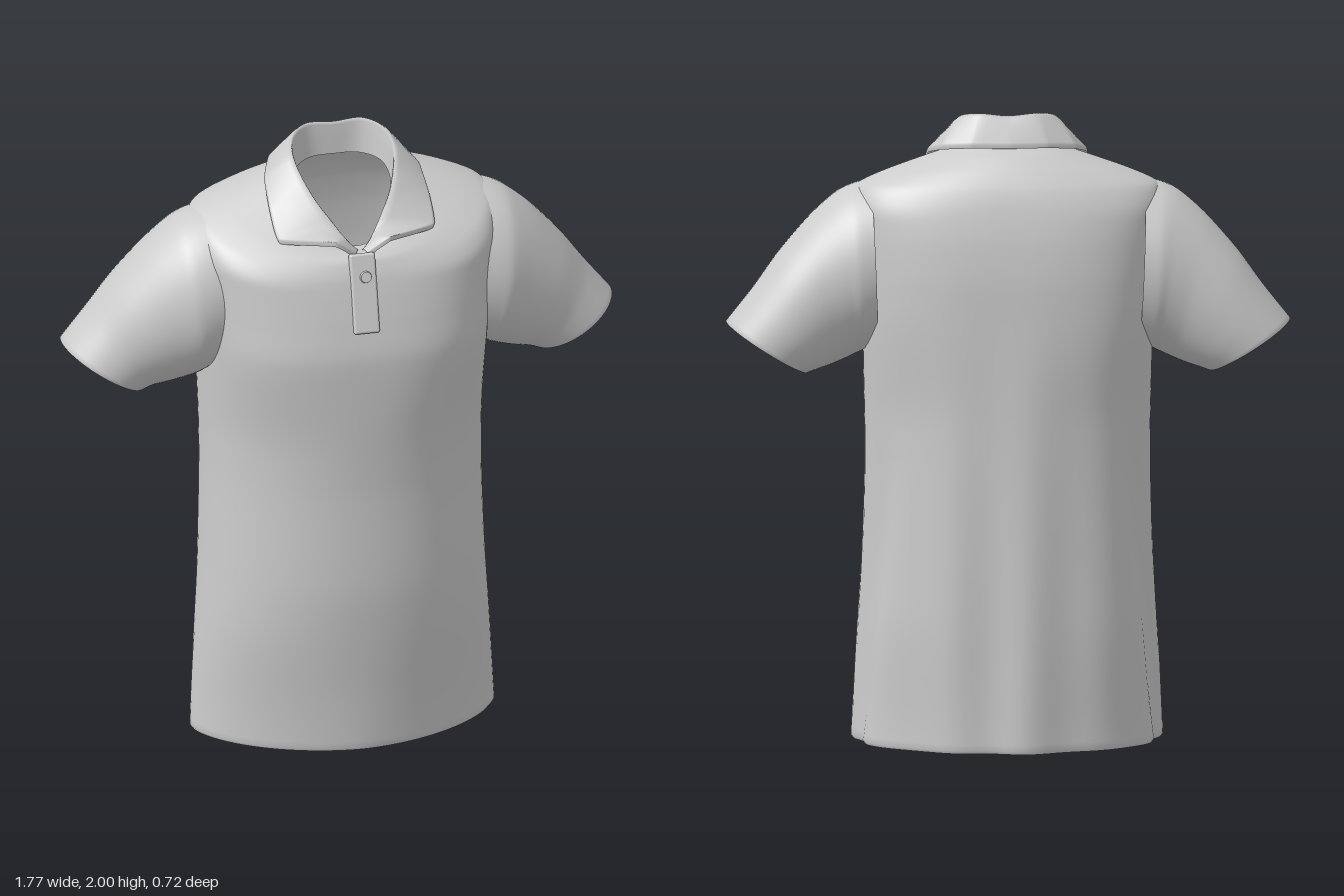
import * as THREE from 'three';
import { RoundedBoxGeometry } from 'three/addons/geometries/RoundedBoxGeometry.js';

const V = (x, y, z) => new THREE.Vector3(x, y, z);
const spow = (v, p) => Math.sign(v) * Math.pow(Math.abs(v), p);
const gauss = (v, w) => Math.exp(-(v * v) / (w * w));
const smooth = THREE.MathUtils.smoothstep;

// Skin a grid of points: rows of equal length, optionally closed around
function loft(rows, closed) {
  const n = rows[0].length, index = [];
  for (let j = 0; j < rows.length - 1; j++) {
    for (let i = 0; i < (closed ? n : n - 1); i++) {
      const k = (i + 1) % n, a = j * n, b = a + n;
      index.push(a + i, b + i, a + k, a + k, b + i, b + k);
    }
  }
  const g = new THREE.BufferGeometry().setFromPoints(rows.flat());
  g.setIndex(index);
  g.computeVertexNormals();
  return g;
}

// Smoothly interpolate a table of six numbers per row
function sampler(table) {
  const a = new THREE.CatmullRomCurve3(table.map(r => V(r[0], r[1], r[2])), false, 'catmullrom', 0.4);
  const b = new THREE.CatmullRomCurve3(table.map(r => V(r[3], r[4], r[5])), false, 'catmullrom', 0.4);
  return t => [...a.getPoint(t).toArray(), ...b.getPoint(t).toArray()];
}

// Torso rings: side height, front height, back height, half width, front z, back z
const TORSO = [
  [0.01, 0.01, 0.01, 0.502, 0.295, -0.348],
  [0.2, 0.2, 0.2, 0.486, 0.31, -0.346],
  [0.55, 0.55, 0.55, 0.46, 0.343, -0.342],
  [0.9, 0.9, 0.9, 0.448, 0.342, -0.335],
  [1.2, 1.2, 1.2, 0.453, 0.356, -0.328],
  [1.38, 1.37, 1.38, 0.457, 0.36, -0.322],
  [1.5, 1.48, 1.5, 0.466, 0.342, -0.317],
  [1.62, 1.57, 1.62, 0.478, 0.322, -0.302],
  [1.72, 1.63, 1.72, 0.486, 0.306, -0.278],
  [1.77, 1.66, 1.78, 0.468, 0.294, -0.255],
  [1.81, 1.685, 1.83, 0.385, 0.28, -0.222],
  [1.855, 1.7, 1.87, 0.26, 0.255, -0.18],
  [1.885, 1.705, 1.9, 0.17, 0.21, -0.12],
];

function torsoRing([yS, yF, yB, hw, zf, zb]) {
  const zc = -0.03, N = 96;
  // oval at the hem and neck, squarer across the chest
  const p = 1.12 - 0.16 * smooth(yS, 0, 0.45) - 0.23 * smooth(yS, 1.02, 1.42)
    + 0.27 * smooth(yS, 1.68, 1.86);
  const low = 1 - smooth(yS, 0.6, 1.25);
  const folds = 1 - smooth(yS, 0.2, 1.7);
  return Array.from({ length: N }, (_, i) => {
    const th = -i / N * Math.PI * 2;
    const c = spow(Math.cos(th), p), s = spow(Math.sin(th), p);
    let x = hw * c, z = zc + (s > 0 ? zf - zc : zc - zb) * s;
    const y = yS + ((s > 0 ? yF : yB) - yS) * Math.pow(Math.abs(s), 1.3);
    // side groove between the front and back panels, and soft folds down the back
    x *= 1 - 0.07 * low * Math.abs(c) * gauss(z + 0.07 + 0.12 * yS, 0.06);
    if (s < 0) z += 0.012 * folds * s * gauss(x, 0.35) * Math.cos((x + 0.06) * 24);
    return V(x, y, z);
  });
}

// Sleeve rings: top x, top y, bottom x, bottom y, front z, back z
const SLEEVE = [
  [0.43, 1.782, 0.41, 1.26, 0.19, -0.25],
  [0.49, 1.764, 0.45, 1.243, 0.193, -0.255],
  [0.54, 1.738, 0.472, 1.232, 0.19, -0.248],
  [0.62, 1.668, 0.515, 1.213, 0.162, -0.24],
  [0.72, 1.555, 0.56, 1.197, 0.13, -0.24],
  [0.8, 1.445, 0.598, 1.186, 0.102, -0.238],
  [0.885, 1.338, 0.628, 1.176, 0.088, -0.232],
];

function sleeveRing([tx, ty, bx, by, zf, zb], side, inset = 0) {
  const N = 56;
  return Array.from({ length: N }, (_, i) => {
    const th = side * i / N * Math.PI * 2;
    const k = (1 - inset) * Math.cos(th) / 2, w = (1 - inset) * Math.sin(th) / 2;
    return V(side * ((tx + bx) / 2 + (tx - bx) * k), (ty + by) / 2 + (ty - by) * k,
      (zf + zb) / 2 + (zf - zb) * w);
  });
}

// Collar, half of each line from the centre back to the centre front
const COLLAR_BASE = [[0, 1.88, -0.105], [0.08, 1.88, -0.095], [0.138, 1.87, -0.04], [0.148, 1.835, 0.04],
  [0.115, 1.78, 0.12], [0.065, 1.73, 0.175], [0.028, 1.7, 0.205], [0.004, 1.685, 0.22]];
const COLLAR_FOLD = [[0, 1.99, -0.105], [0.09, 1.997, -0.098], [0.148, 1.98, -0.04], [0.157, 1.935, 0.04],
  [0.125, 1.86, 0.13], [0.075, 1.788, 0.195], [0.032, 1.728, 0.232], [0.004, 1.695, 0.24]];
const COLLAR_EDGE = [[0, 1.905, -0.16], [0.12, 1.905, -0.15], [0.21, 1.895, -0.105], [0.25, 1.87, 0],
  [0.258, 1.81, 0.1], [0.252, 1.744, 0.195], [0.09, 1.757, 0.284], [0.018, 1.702, 0.268]];

function collarGeometry() {
  const line = (half, tension) => {
    const mirrored = half.slice(1).reverse().map(([x, y, z]) => [-x, y, z]);
    const pts = [...mirrored, ...half].map(q => V(...q));
    return new THREE.CatmullRomCurve3(pts, false, 'catmullrom', tension).getPoints(112);
  };
  const base = line(COLLAR_BASE, 0.5), fold = line(COLLAR_FOLD, 0.5), edge = line(COLLAR_EDGE, 0.15);
  return loft(fold.map((f, i) => {
    const b = base[i], e = edge[i];
    const at = (p, q, t, lift) => p.clone().lerp(q, t).add(V(0, lift, 0));
    return [b, at(b, f, 0.5, 0), at(b, f, 0.9, 0), at(f, e, 0.04, 0.004), at(f, e, 0.2, 0.01),
      at(f, e, 0.6, 0.01), at(f, e, 0.95, 0.003), e, at(e, f, 0.03, -0.014)];
  }), false);
}

export function createModel() {
  const shirt = new THREE.Group();
  shirt.name = 'poloShirt';
  const cloth = new THREE.MeshStandardMaterial({ color: 0xcccccc, side: THREE.DoubleSide });
  cloth.name = 'light grey cloth';
  const add = (name, geometry) => {
    const mesh = new THREE.Mesh(geometry, cloth);
    mesh.name = name;
    shirt.add(mesh);
    return mesh;
  };

  // Torso with a small turned hem
  const torsoAt = sampler(TORSO);
  const rings = Array.from({ length: 97 }, (_, i) => torsoRing(torsoAt(i / 96)));
  const hem = rings[0].map(p => V(p.x * 0.985, 0, p.z * 0.985));
  add('torso', loft([hem, ...rings], true));

  // Closed underside just inside the hem
  const rim = rings[0].map(p => V(p.x * 0.99, 0.012, p.z * 0.99));
  add('hemLining', loft([rim.map(() => V(0, 0.012, -0.03)), rim], true));

  // Sleeves, each with a turned cuff
  const sleeveAt = sampler(SLEEVE);
  for (const side of [1, -1]) {
    const rows = Array.from({ length: 37 }, (_, i) => sleeveRing(sleeveAt(i / 36), side));
    rows.push(sleeveRing(sleeveAt(0.995), side, 0.04), sleeveRing(sleeveAt(0.9), side, 0.06));
    add(side > 0 ? 'leftSleeve' : 'rightSleeve', loft(rows, true));
  }

  // Folded collar
  add('collar', collarGeometry());

  // Button placket lying on the sloping chest
  const tilt = -Math.atan2(0.07, 0.25);
  const placket = add('placket', new RoundedBoxGeometry(0.083, 0.255, 0.024, 3, 0.008));
  placket.position.set(-0.004, 1.587, 0.314);
  placket.rotation.x = tilt;

  const button = add('button', new THREE.CylinderGeometry(0.017, 0.02, 0.012, 24));
  button.position.set(0.002, 1.642, 0.314);
  button.rotation.x = Math.PI / 2 + tilt;
  return shirt;
}
